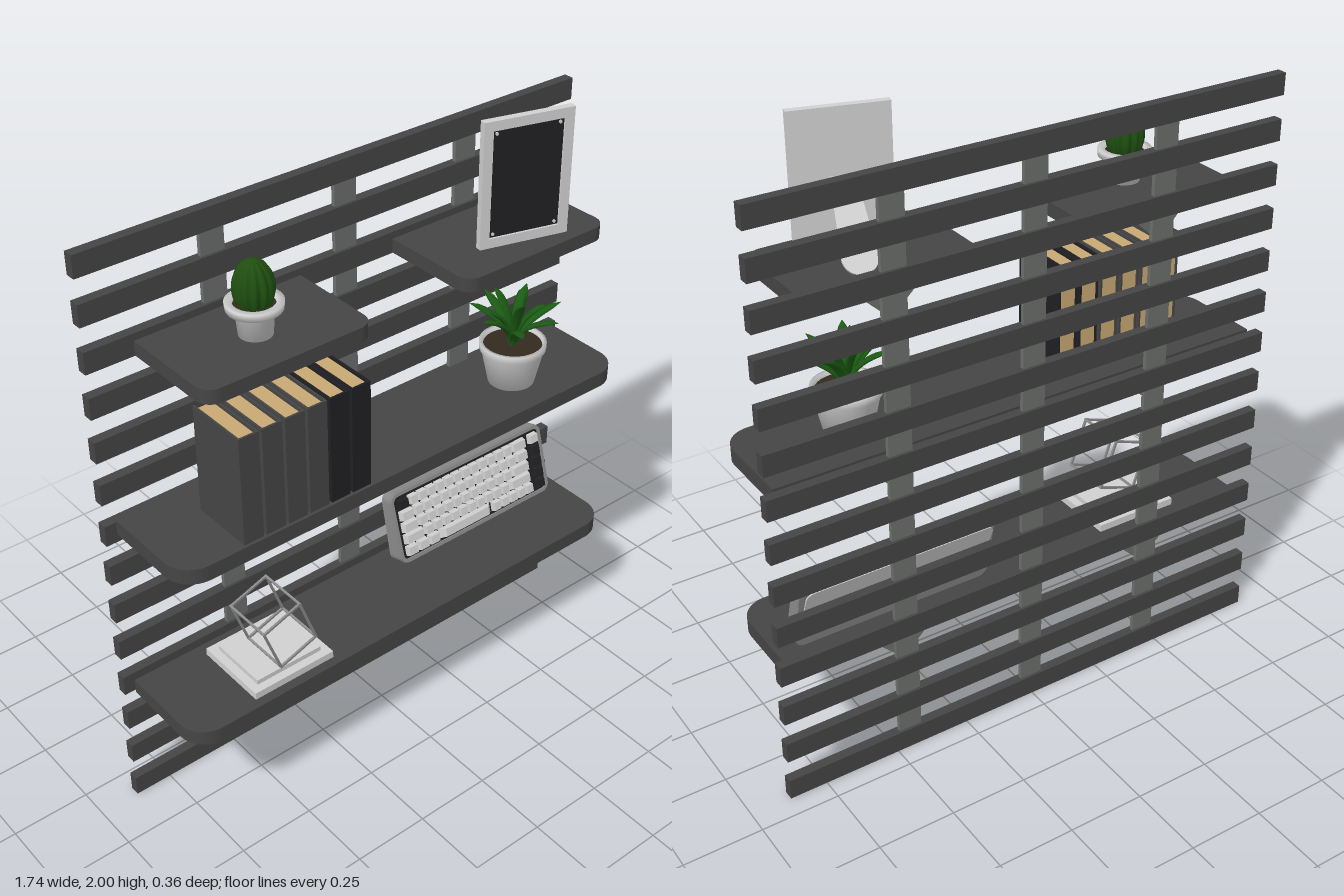
import * as THREE from 'three';

const mat = (name, color, side = THREE.FrontSide) => {
  const m = new THREE.MeshStandardMaterial({ color, side });
  m.name = name;
  return m;
};

export function createModel() {
  const charcoal = mat('charcoal', 0x454545);
  const metal = mat('metal grey', 0x6c6f6d);
  const midGrey = mat('mid grey', 0x8a8a8a);
  const light = mat('light grey', 0xd0d0d0, THREE.DoubleSide);
  const black = mat('black', 0x202024);
  const paper = mat('paper', 0xc8a974);
  const cactusGreen = mat('cactus green', 0x1f4f10);
  const leafGreen = mat('leaf green', 0x1b5a14);
  const soilBrown = mat('soil', 0x33291f);

  const model = new THREE.Group();
  model.name = 'wallShelf';
  const group = (name, x = 0, y = 0, z = 0, parent = model) => {
    const g = new THREE.Group();
    g.name = name;
    g.position.set(x, y, z);
    parent.add(g);
    return g;
  };
  const add = (name, geo, m, x = 0, y = 0, z = 0, parent = model) => {
    const mesh = new THREE.Mesh(geo, m);
    mesh.name = name;
    mesh.position.set(x, y, z);
    parent.add(mesh);
    return mesh;
  };
  const box = (name, m, w, h, d, x, y, z, parent) =>
    add(name, new THREE.BoxGeometry(w, h, d), m, x, y, z, parent);
  const lathe = (pts) => new THREE.LatheGeometry(pts.map(([x, y]) => new THREE.Vector2(x, y)), 32);
  const extrude = (shape, depth) =>
    new THREE.ExtrudeGeometry(shape, { depth, bevelEnabled: false, curveSegments: 8 });
  const roundRect = (w, h, r) => {
    const s = new THREE.Shape(), x = w / 2 - r, y = h / 2 - r;
    s.absarc(x, y, r, 0, Math.PI / 2);
    s.absarc(-x, y, r, Math.PI / 2, Math.PI);
    s.absarc(-x, -y, r, Math.PI, Math.PI * 1.5);
    s.absarc(x, -y, r, Math.PI * 1.5, Math.PI * 2);
    s.closePath();
    return s;
  };

  // Slatted back panel
  for (let i = 0; i < 14; i++) box('slat', charcoal, 1.744, 0.068, 0.032, 0, 0.034 + i * 0.142, -0.166);
  for (const x of [-0.45, 0, 0.45]) box('post', metal, 0.077, 1.85, 0.014, x, 0.955, -0.166);

  // Shelves with rounded front corners
  const shelf = (x, bottom, w, h, r) => {
    const s = new THREE.Shape(), a = w / 2;
    s.moveTo(a, 0.15);
    s.lineTo(-a, 0.15);
    s.absarc(-a + r, -0.18 + r, r, Math.PI, Math.PI * 1.5);
    s.absarc(a - r, -0.18 + r, r, Math.PI * 1.5, Math.PI * 2);
    s.closePath();
    add('shelf', extrude(s, h).rotateX(-Math.PI / 2), charcoal, x, bottom, 0);
  };
  shelf(0, 0.415, 1.67, 0.05, 0.09);
  shelf(0, 1.02, 1.67, 0.05, 0.09);
  shelf(-0.445, 1.563, 0.55, 0.045, 0.05);
  shelf(0.44, 1.563, 0.55, 0.045, 0.05);

  // Angle brackets under the shelves
  const plate = new THREE.Shape([[-0.07, 0], [-0.07, -0.022], [-0.032, -0.058], [0.032, -0.058], [0.07, -0.022], [0.07, 0]]
    .map(([x, y]) => new THREE.Vector2(x, y)));
  plate.holes.push(new THREE.Path().absarc(0, -0.035, 0.009, 0, Math.PI * 2, true));
  for (const y of [0.415, 1.02, 1.563]) for (const x of [-0.45, 0.45]) {
    const b = group('bracket', x, y, -0.15);
    add('bracketPlate', extrude(plate, 0.006), metal, 0, 0, 0, b);
    box('bracketArm', metal, 0.14, 0.006, 0.07, 0, -0.003, 0.035, b);
  }

  // Books: cover boards, spine and page block
  for (let i = 0; i < 6; i++) {
    const m = i < 4 ? charcoal : black, w = 0.066;
    const b = group('book', -0.592 + i * 0.0758, 1.07, 0.065);
    for (const s of [-1, 1]) box('cover', m, 0.006, 0.35, 0.21, s * (w / 2 - 0.003), 0.175, 0, b);
    box('spine', m, w, 0.35, 0.006, 0, 0.175, 0.102, b);
    box('pages', paper, w - 0.012, 0.335, 0.198, 0, 0.172, -0.001, b);
  }

  // Cactus in a rimmed pot
  const cactus = group('cactus', -0.45, 1.608, 0.022);
  add('cactusPot', lathe([[0, 0], [0.048, 0], [0.054, 0.075], [0.079, 0.078], [0.081, 0.1], [0.06, 0.1], [0.057, 0.085]]),
    light, 0, 0, 0, cactus);
  add('cactusSoil', new THREE.CylinderGeometry(0.058, 0.056, 0.006, 24), soilBrown, 0, 0.088, 0, cactus);
  const body = new THREE.SphereGeometry(1, 60, 16), p = body.attributes.position, v = new THREE.Vector3();
  for (let i = 0; i < p.count; i++) {
    v.fromBufferAttribute(p, i);
    const k = 0.054 * (1 + 0.09 * Math.cos(12 * Math.atan2(v.z, v.x)));
    p.setXYZ(i, v.x * k, v.y * 0.082, v.z * k);
  }
  body.computeVertexNormals();
  add('cactusBody', body, cactusGreen, 0, 0.14, 0, cactus);

  // Leafy plant in a tapered pot
  const plant = group('plant', 0.507, 1.07, 0.022);
  add('plantPot', lathe([[0, 0], [0.073, 0], [0.098, 0.115], [0.104, 0.117], [0.105, 0.14], [0.094, 0.14], [0.09, 0.12]]),
    light, 0, 0, 0, plant);
  add('plantSoil', new THREE.CylinderGeometry(0.093, 0.09, 0.006, 24), soilBrown, 0, 0.125, 0, plant);
  const leaf = (reach, rise, width) => {
    const g = new THREE.CylinderGeometry(1, 1, 1, 8, 8), q = g.attributes.position;
    for (let i = 0; i < q.count; i++) {
      const t = q.getY(i) + 0.5;
      const w = width * (0.6 + 0.9 * t) * Math.sqrt(Math.max(0.003, 1 - t * t));
      const dr = reach * (0.4 + 1.2 * t), dy = rise * (1.5 - t), l = Math.hypot(dr, dy);
      const n = q.getZ(i) * w * 0.4;
      q.setXYZ(i, q.getX(i) * w, rise * (1.5 * t - 0.5 * t * t) - n * dr / l, reach * (0.4 * t + 0.6 * t * t) + n * dy / l);
    }
    g.computeVertexNormals();
    return g;
  };
  const ring = (count, start, reach, rise, width) => {
    for (let i = 0; i < count; i++) {
      const k = 1 + 0.12 * Math.sin(i * 2.4 + start);
      const m = add('leaf', leaf(reach * k, rise / k, width), leafGreen, 0, 0.125, 0, plant);
      m.rotation.y = start + i * Math.PI * 2 / count;
    }
  };
  ring(7, 0.3, 0.145, 0.13, 0.02);
  ring(5, 0.8, 0.085, 0.16, 0.019);

  // Picture frame with a rear strut
  const frame = group('pictureFrame', 0.452, 1.608, 0.09);
  frame.rotation.y = -0.27;
  box('frameBack', light, 0.285, 0.392, 0.012, 0, 0.196, -0.004, frame);
  for (const s of [-1, 1]) {
    box('frameSide', light, 0.03, 0.392, 0.012, s * 0.1275, 0.196, 0.007, frame);
    box('frameRail', light, 0.225, 0.03, 0.012, 0, 0.196 + s * 0.181, 0.007, frame);
    for (const t of [-1, 1])
      add('pin', new THREE.CylinderGeometry(0.005, 0.005, 0.004, 10).rotateX(Math.PI / 2), light, s * 0.1, 0.196 + t * 0.155, 0.008, frame);
  }
  box('picture', black, 0.225, 0.332, 0.004, 0, 0.196, 0.004, frame);
  const strutShape = new THREE.Shape();
  strutShape.moveTo(0.036, 0);
  strutShape.lineTo(0.05, -0.24);
  strutShape.absarc(0, -0.235, 0.05, 0, -Math.PI, true);
  strutShape.lineTo(-0.036, 0);
  strutShape.closePath();
  const strut = add('strut', extrude(strutShape, 0.008), light, 0, 0.2, -0.014, frame);
  strut.rotation.x = 0.79;

  // Wire cube ornament on a stepped base
  const ornament = group('ornament', -0.46, 0.465, 0.022);
  box('lowerBase', light, 0.29, 0.024, 0.255, 0, 0.012, 0, ornament);
  box('upperBase', light, 0.235, 0.016, 0.2, 0, 0.032, 0, ornament);
  const cube = group('wireCube', -0.003, 0.163, 0.033, ornament);
  cube.rotation.z = 0.34;
  const size = [0.139, 0.165, 0.165];
  for (let a = 0; a < 3; a++) for (const s of [-1, 1]) for (const t of [-1, 1]) {
    const dims = [0.007, 0.007, 0.007], pos = [0, 0, 0], b = (a + 1) % 3, c = (a + 2) % 3;
    dims[a] = size[a] + 0.007;
    pos[b] = s * size[b] / 2;
    pos[c] = t * size[c] / 2;
    box('rod', midGrey, ...dims, ...pos, cube);
  }

  // Keyboard leaning against the panel
  const kb = group('keyboard', 0.445, 0.594, -0.094);
  kb.rotation.x = -0.29;
  const caseGeo = extrude(roundRect(0.66, 0.25, 0.03), 0.045).translate(0, 0, -0.0225);
  const c = caseGeo.attributes.position;
  for (let i = 0; i < c.count; i++) if (c.getZ(i) < 0) c.setZ(i, -0.024 + c.getY(i) * 0.07);
  caseGeo.computeVertexNormals();
  add('case', caseGeo, midGrey, 0, 0, 0, kb);
  const backGeo = extrude(roundRect(0.63, 0.22, 0.025), 0.004);
  add('caseBack', backGeo, light, 0, 0, -0.028, kb).rotation.x = -0.07;
  const rim = roundRect(0.656, 0.246, 0.028);
  rim.holes.push(roundRect(0.636, 0.222, 0.02));
  add('caseRim', extrude(rim, 0.008), midGrey, 0, 0, 0.0225, kb);
  add('keyPlate', extrude(roundRect(0.636, 0.222, 0.02), 0.002), black, 0, 0, 0.0225, kb);
  // Tapered keycaps; each row lists key widths in units
  const cap = (m, x, y, w) => {
    const g = new THREE.CylinderGeometry(0.58, Math.SQRT1_2, 1, 4, 1).rotateY(Math.PI / 4).rotateX(Math.PI / 2).toNonIndexed();
    g.computeVertexNormals();
    add('key', g, m, x, y, 0.034, kb).scale.set(w - 0.005, 0.034, 0.02);
  };
  const ones = (n) => Array(n).fill(1);
  const rows = [
    [1.2, ...ones(12), 1.8], [1.5, ...ones(12), 1.5], [1.75, ...ones(11), 2.25],
    [2.25, ...ones(10), 2.75], [1.25, 1.25, 1.25, 6.25, 1, 1, 1, 1, 1]];
  rows.forEach((row, r) => {
    let x = -0.308;
    row.forEach((u, i) => {
      const w = u * 0.0375;
      cap(r === 0 && i === 0 ? black : light, x + w / 2, 0.083 - r * 0.0415, w);
      x += w;
    });
    cap(r === 0 ? light : black, 0.288, 0.083 - r * 0.0415, 0.042);
  });

  return model;
}
